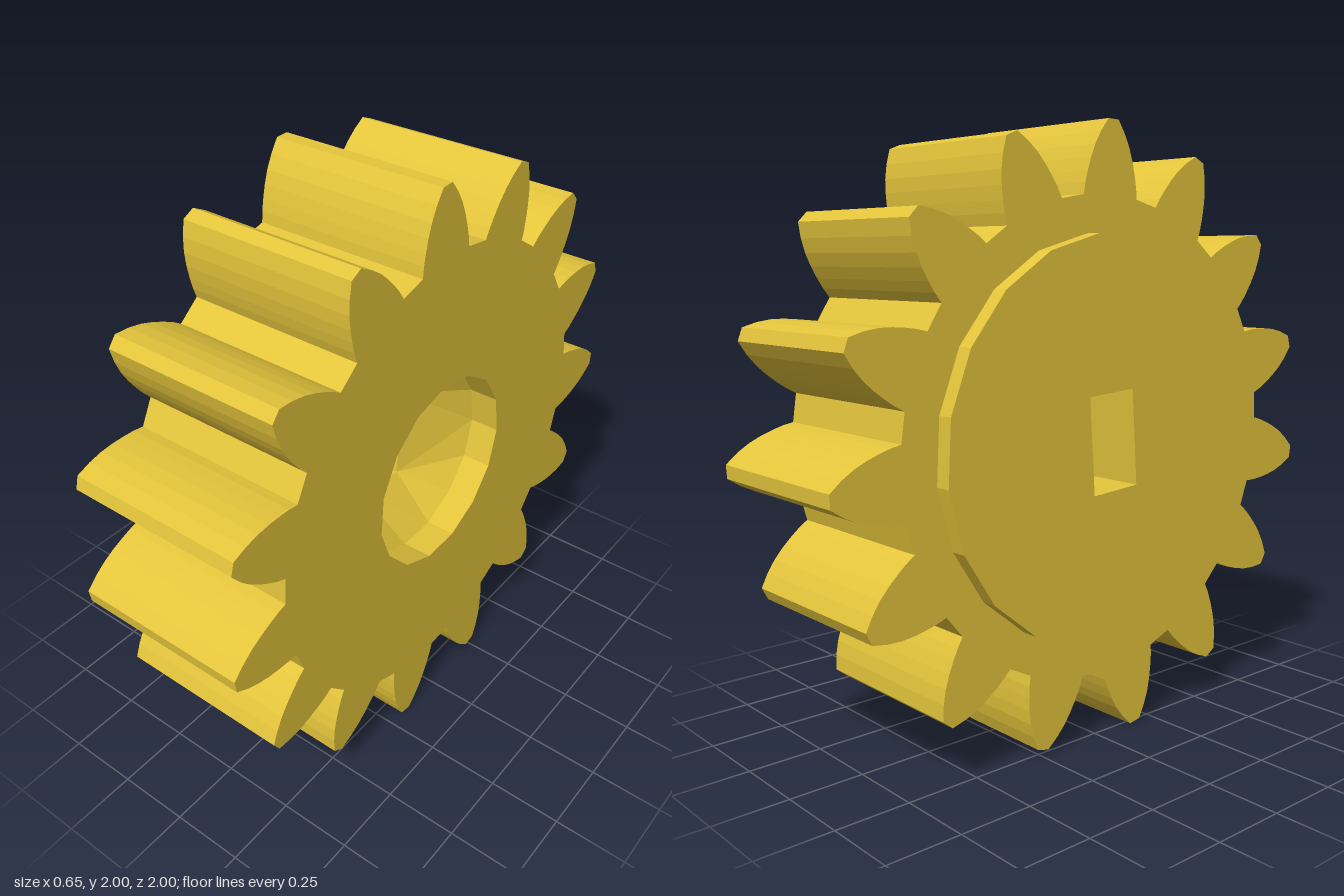
import * as THREE from 'three';

const RAD = Math.PI / 180;
const FRONT = 0.325, GEAR_BACK = -0.27, DISC_BACK = -0.325;
const polar = (r, deg) => new THREE.Vector2(r * Math.cos(deg * RAD), r * Math.sin(deg * RAD));
const ring = (n, r, phase) => Array.from({ length: n }, (_, i) => polar(r, phase + (i * 360) / n));

// Tooth flank: [radius, half angle in degrees], root to tip
const FLANK = [[0.775, 8.6], [0.81, 7.9], [0.845, 7.0], [0.885, 5.9], [0.925, 4.65], [0.965, 3.1], [1.005, 1.25]];
const TEETH = 15, PHASE = 92.4;

function gearOutline() {
  const points = [];
  for (let i = 0; i < TEETH; i++) {
    const mid = PHASE + (i * 360) / TEETH;
    FLANK.forEach(([r, a]) => points.push(polar(r, mid - a)));
    [...FLANK].reverse().forEach(([r, a]) => points.push(polar(r, mid + a)));
  }
  return points;
}

// Plate with a hole, between two positions along the axle
function plate(outline, hole, back, front) {
  const shape = new THREE.Shape(outline);
  shape.holes.push(new THREE.Path(hole));
  return new THREE.ExtrudeGeometry(shape, { depth: front - back, bevelEnabled: false }).translate(0, 0, back);
}

// Funnel from the round recess to the rectangular slot, then the slot walls
function socketGeometry(circle, slot, zCircle, zSlot, zBack) {
  const pos = [];
  const tri = (...corners) => corners.forEach(([p, z]) => pos.push(p.x, p.y, z));
  const nearest = (p) => slot.reduce((best, c, k) => (c.distanceTo(p) < slot[best].distanceTo(p) ? k : best), 0);
  circle.forEach((p, i) => {
    const q = circle[(i + 1) % circle.length];
    const a = slot[nearest(p)], b = slot[nearest(q)];
    tri([p, zCircle], [q, zCircle], [a, zSlot]);
    if (a !== b) tri([q, zCircle], [b, zSlot], [a, zSlot]);
  });
  slot.forEach((a, k) => {
    const b = slot[(k + 1) % 4];
    tri([a, zSlot], [b, zSlot], [a, zBack]);
    tri([b, zSlot], [b, zBack], [a, zBack]);
  });
  const geo = new THREE.BufferGeometry();
  geo.setAttribute('position', new THREE.Float32BufferAttribute(pos, 3));
  geo.computeVertexNormals();
  return geo;
}

export function createModel() {
  const gold = new THREE.MeshStandardMaterial({ color: 0xe3c43b });
  gold.name = 'gold';
  const model = new THREE.Group();
  model.name = 'gear';
  const add = (name, geo) => {
    const mesh = new THREE.Mesh(geo.rotateY(Math.PI / 2), gold); // axle along x
    mesh.name = name;
    model.add(mesh);
  };

  const recess = ring(15, 0.33, PHASE);
  const slot = [[1, 1], [-1, 1], [-1, -1], [1, -1]].map(([sx, sy]) =>
    new THREE.Vector2(sx * 0.094, sy * 0.158).rotateAround(new THREE.Vector2(), -4 * RAD));

  // Toothed wheel with round recess
  add('toothedWheel', plate(gearOutline(), recess, GEAR_BACK, FRONT));
  // Tapered socket leading into the axle slot
  add('axleSocket', socketGeometry(recess, slot, FRONT - 0.1, FRONT - 0.24, GEAR_BACK));
  // Thin flange on the back
  add('backFlange', plate(ring(20, 0.656, 84), slot, DISC_BACK, GEAR_BACK));

  model.position.set(0, 0.995, 0.004);
  const root = new THREE.Group();
  root.name = 'spurGear';
  root.add(model);
  return root;
}
